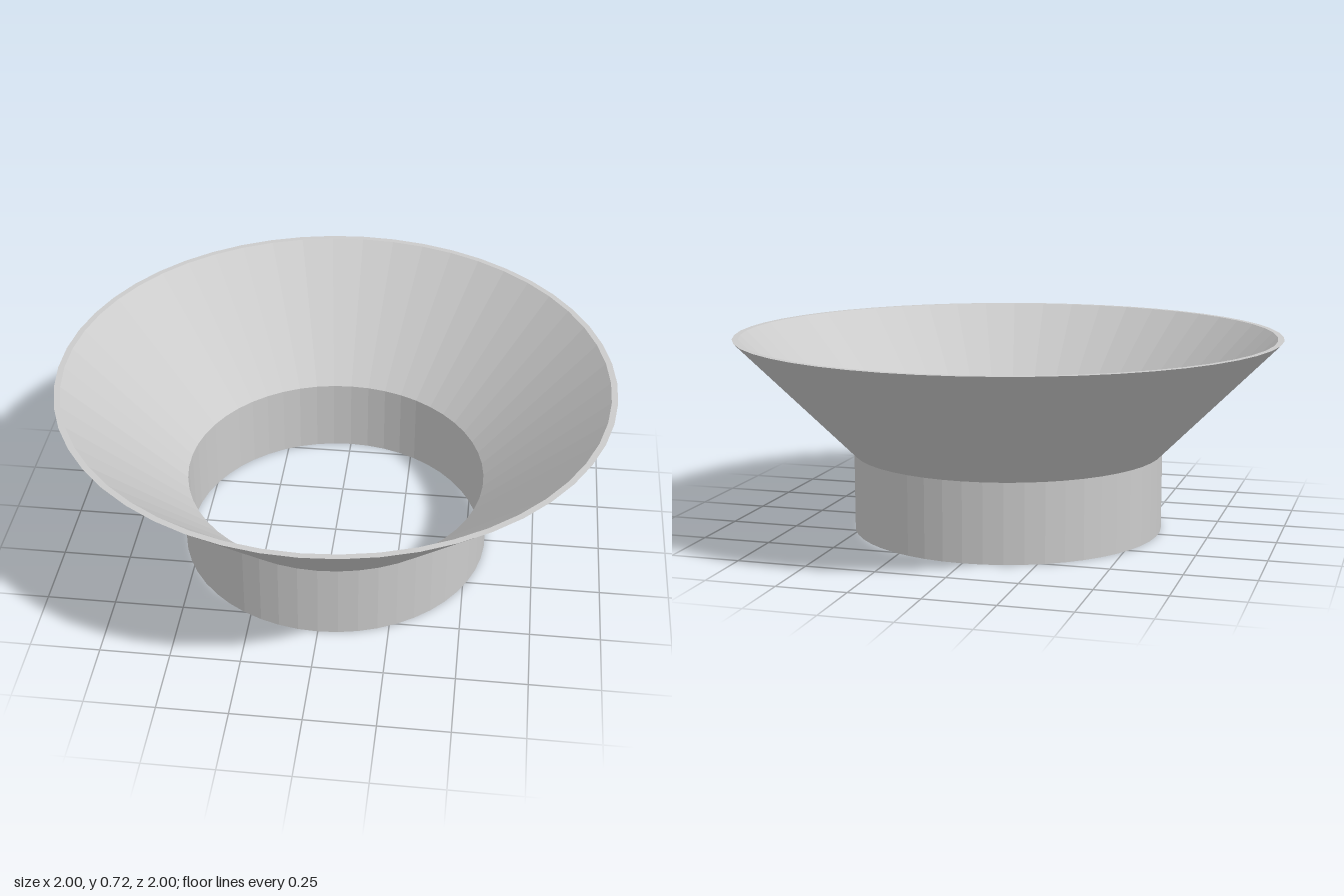
import * as THREE from 'three';

const SEGMENTS = 50;
const SEAM_Y = 0.287, TOP_Y = 0.717;
const NECK_OUTER = 0.57, NECK_INNER = 0.55;
const RIM_OUTER = 1, RIM_INNER = 0.978;

// Spins an open [radius, height] profile into a faceted ring
function ring(name, profile) {
  const points = profile.map(([r, y]) => new THREE.Vector2(r, y));
  const material = new THREE.MeshStandardMaterial({ color: 0xcccccc, flatShading: true });
  const mesh = new THREE.Mesh(new THREE.LatheGeometry(points, SEGMENTS), material);
  mesh.name = name;
  return mesh;
}

export function createModel() {
  const group = new THREE.Group();
  group.name = 'funnel';

  // Straight collar: inner wall, bottom edge, outer wall
  group.add(ring('neck', [
    [NECK_INNER, SEAM_Y], [NECK_INNER, 0], [NECK_OUTER, 0], [NECK_OUTER, SEAM_Y],
  ]));

  // Flared cone: outer wall, flat rim, inner wall
  group.add(ring('flare', [
    [NECK_OUTER, SEAM_Y], [RIM_OUTER, TOP_Y], [RIM_INNER, TOP_Y], [NECK_INNER, SEAM_Y],
  ]));

  return group;
}
